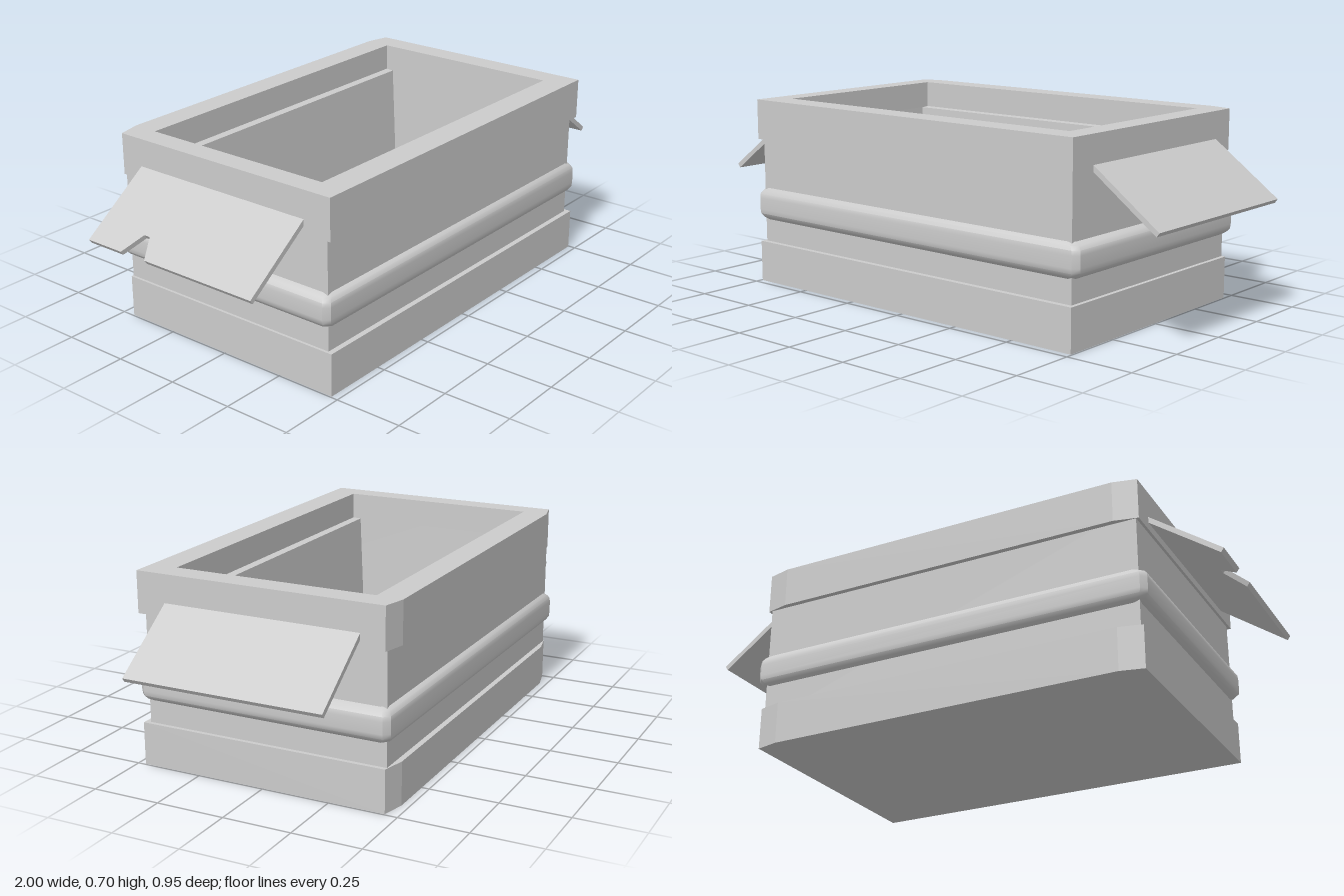
import * as THREE from 'three';
import { toCreasedNormals } from 'three/addons/utils/BufferGeometryUtils.js';

const grey = new THREE.MeshStandardMaterial({ color: 0xcccccc });

function part(name, geometry) {
  const mesh = new THREE.Mesh(geometry, grey);
  mesh.name = name;
  return mesh;
}

// Rectangle outline as [x, z], counter-clockwise from above
const rect = (x0, x1, z0, z1) => [[x0, z1], [x1, z1], [x1, z0], [x0, z0]];

// Rectangle outline with cut corners
const cutRect = (x, z, c) => [
  [-x + c, z], [x - c, z], [x, z - c], [x, -z + c],
  [x - c, -z], [-x + c, -z], [-x, -z + c], [-x, z - c]];

// Skin between stacked outlines; stacking upward faces out, downward faces in
function loft(rings, crease) {
  const pos = [], idx = [], n = rings[0].pts.length;
  rings.forEach(({ y, pts }) => pts.forEach(([x, z]) => pos.push(x, y, z)));
  for (let j = 0; j < rings.length - 1; j++) {
    for (let i = 0; i < n; i++) {
      const a = j * n + i, b = j * n + (i + 1) % n;
      idx.push(a, b, b + n, a, b + n, a + n);
    }
  }
  const g = new THREE.BufferGeometry();
  g.setAttribute('position', new THREE.Float32BufferAttribute(pos, 3));
  g.setIndex(idx);
  return toCreasedNormals(g, crease);
}

// Flat slab from an [x, z] outline, with an optional hole
function slab(outline, hole, y0, y1) {
  const toV = (pts) => pts.map(([x, z]) => new THREE.Vector2(x, -z));
  const shape = new THREE.Shape(toV(outline));
  if (hole) shape.holes.push(new THREE.Path(toV(hole)));
  return new THREE.ExtrudeGeometry(shape, { depth: y1 - y0, bevelEnabled: false })
    .rotateX(-Math.PI / 2).translate(0, y0, 0);
}

// Sloping side flap, side = 1 for +x and -1 for -x
function flap(side, outline) {
  const angle = 0.628, t = 0.018;
  const c = Math.cos(angle), s = Math.sin(angle);
  const shape = new THREE.Shape(outline.map(([u, z]) => new THREE.Vector2(u, -side * z)));
  const g = new THREE.ExtrudeGeometry(shape, { depth: t, bevelEnabled: false });
  const m = new THREE.Matrix4().makeBasis(
    new THREE.Vector3(side * c, -s, 0),
    new THREE.Vector3(0, 0, -side),
    new THREE.Vector3(side * s, c, 0));
  m.setPosition(side * (0.737 - s * t), 0.605 - c * t, 0);
  return g.applyMatrix4(m);
}

export function createModel() {
  const model = new THREE.Group();
  const opening = rect(-0.662, 0.655, -0.378, 0.372);

  // Rim and base bands: square front corners, slightly tapered back corners
  const band = [[-0.745, 0.473], [0.745, 0.473], [0.745, -0.453],
    [0.66, -0.473], [-0.66, -0.473], [-0.745, -0.453]];
  model.add(part('topBand', slab(band, opening, 0.55, 0.7)));
  model.add(part('bottomBand', slab(band, opening, 0, 0.155)));
  model.add(part('base', slab(rect(-0.7, 0.7, -0.42, 0.42), null, 0, 0.03)));

  // Outer walls
  const wall = rect(-0.735, 0.73, -0.453, 0.453);
  model.add(part('walls', loft([{ y: 0.1, pts: wall }, { y: 0.6, pts: wall }], 0.5)));

  // Rounded moulding around the middle
  const rings = [[0.24, 0.03], [0.25, 0.013], [0.263, 0.002], [0.28, 0],
    [0.322, 0], [0.339, 0.002], [0.352, 0.013], [0.362, 0.03]]
    .map(([y, d]) => ({ y, pts: cutRect(0.765 - d, 0.473 - d * 0.67, 0.02) }));
  model.add(part('middleMoulding', loft(rings, 0.7)));

  // Interior: ledge below the rim, then tapering walls down to the floor
  const mouth = rect(-0.662, 0.655, -0.347, 0.34);
  const floor = rect(-0.645, 0.655, -0.32, 0.31);
  model.add(part('innerWalls', loft([
    { y: 0.6, pts: opening }, { y: 0.598, pts: mouth }, { y: 0.04, pts: floor }], 0.5)));
  model.add(part('innerFloor', slab(floor, null, 0.02, 0.04)));

  // Side flaps, the one on -x with a notch in its outer edge
  const L = 0.325, w = 0.365;
  model.add(part('leftFlap', flap(1, [[0, w], [L, w], [L, -w], [0, -w]])));
  model.add(part('rightFlap', flap(-1, [[0, w], [L, w], [L, -0.1],
    [L - 0.083, -0.14], [L - 0.083, -0.165], [L, -0.21], [L, -w], [0, -w]])));
  return model;
}
